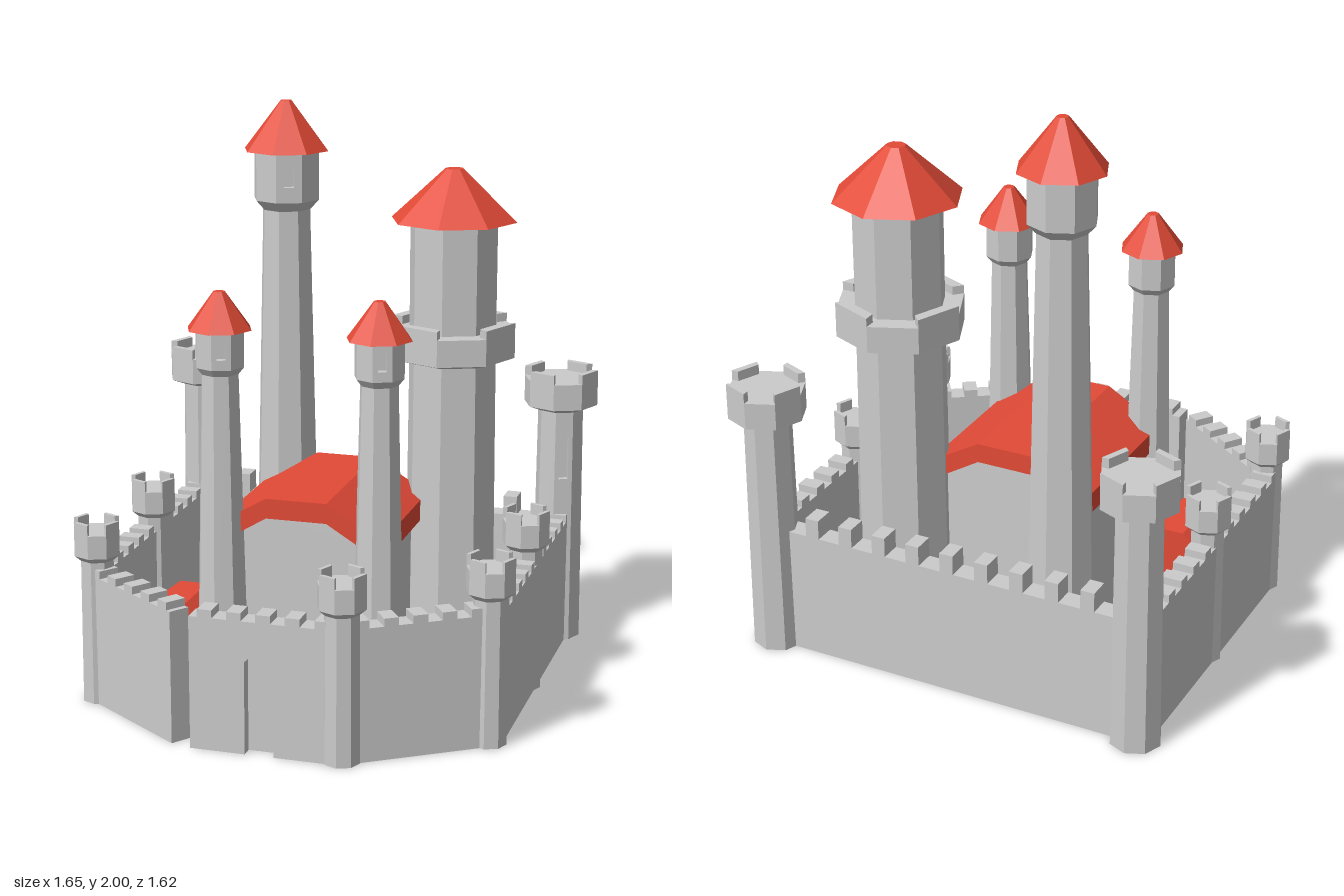
import * as THREE from 'three';

const stone = new THREE.MeshStandardMaterial({ color: 0xcccccc, flatShading: true });
const red = new THREE.MeshStandardMaterial({ color: 0xe24a36, flatShading: true });
const STEP = Math.PI / 4; // every tower is eight-sided
const SIN = Math.sin(STEP / 2), COS = Math.cos(STEP / 2);
const faceAngle = (i) => (i + 0.5) * STEP;

function add(parent, name, geometry, material = stone) {
  const mesh = new THREE.Mesh(geometry, material);
  mesh.name = name;
  parent.add(mesh);
  return mesh;
}

function polygon(points) {
  return new THREE.Shape(points.map(([x, y]) => new THREE.Vector2(x, y)));
}

function extrude(shape, depth) {
  return new THREE.ExtrudeGeometry(shape, { depth, bevelEnabled: false });
}

function group(parent, name, x = 0, z = 0) {
  const g = new THREE.Group();
  g.name = name;
  g.position.set(x, 0, z);
  parent.add(g);
  return g;
}

// Eight-sided section between two heights
function section(parent, name, y0, r0, y1, r1, material = stone) {
  const g = new THREE.CylinderGeometry(r1, r0, y1 - y0, 8);
  add(parent, name, g.translate(0, (y0 + y1) / 2, 0), material);
}

// Section with one recessed window in face i
function windowSection(parent, name, y0, r0, y1, r1, i, win) {
  const h = y1 - y0, angle = faceAngle(i), depth = 0.03;
  const tube = new THREE.CylinderGeometry(r1, r0, h, 7, 1, true, angle + STEP / 2, 7 * STEP);
  add(parent, name, tube.translate(0, (y0 + y1) / 2, 0));
  const lean = Math.atan(((r0 - r1) * COS) / h), len = h / Math.cos(lean);
  const b = r0 * SIN, t = r1 * SIN;
  const shape = polygon([[-b, 0], [b, 0], [t, len], [-t, len]]);
  const w = win.w / 2, lo = win.y0 - y0, hi = win.y1 - y0;
  shape.holes.push(polygon([[-w, lo], [-w, hi], [w, hi], [w, lo]]));
  const place = (g) => g.rotateX(-lean).translate(0, y0, r0 * COS).rotateY(angle);
  add(parent, name + 'WindowFace', place(extrude(shape, depth).translate(0, 0, -depth)));
  const back = new THREE.BoxGeometry(win.w * 1.2, hi - lo + 0.02, 0.01);
  add(parent, name + 'WindowBack', place(back.translate(0, (lo + hi) / 2, -depth)));
  // caps keep the section closed at both ends
  for (const [y, r, turn] of [[y0, r0, Math.PI / 2], [y1, r1, -Math.PI / 2]]) {
    const cap = new THREE.CircleGeometry(r, 8).rotateX(turn).translate(0, y, 0);
    add(parent, name + 'Cap', cap);
  }
}

// Flared platform with raised plates on alternate faces
function battlement(parent, shaftR, r, y0, y1, top) {
  section(parent, 'flare', y0 - 0.02, shaftR, y0, r);
  section(parent, 'platform', y0, r, y1, r);
  const t = r * 0.17, half = r * SIN, inner = half - t * Math.tan(STEP / 2);
  for (const i of [1, 3, 5, 7]) {
    const plate = extrude(polygon([[-half, 0], [half, 0], [inner, t], [-inner, t]]), top - y1);
    plate.rotateX(-Math.PI / 2).translate(0, y1, r * COS).rotateY(faceAngle(i));
    add(parent, 'battlementPlate', plate);
  }
}

// Slim turret with a wider window chamber and pointed roof
function turret(parent, name, x, z, d) {
  const g = group(parent, name, x, z);
  if (d.slit) windowSection(g, 'shaft', 0, d.base, d.neck, d.neckR, 2, d.slit);
  else section(g, 'shaft', 0, d.base, d.neck, d.neckR);
  section(g, 'flare', d.neck, d.neckR, d.head, d.headR);
  windowSection(g, 'chamber', d.head, d.headR, d.eave, d.headR, 0, d.win);
  section(g, 'roof', d.eave, d.roofR, d.top, 0.02, red);
}

// Straight wall from a to b with evenly spaced merlons
function wall(parent, name, a, b, { merlon = 0.05, pitch = 0.1, top = 0.487, body = true } = {}) {
  const dx = b[0] - a[0], dz = b[1] - a[1], len = Math.hypot(dx, dz);
  const g = group(parent, name, (a[0] + b[0]) / 2, (a[1] + b[1]) / 2);
  g.rotation.y = -Math.atan2(dz, dx);
  const H = 0.46, T = 0.075;
  if (body) add(g, 'wallBody', new THREE.BoxGeometry(len, H, T).translate(0, H / 2, 0));
  const n = Math.floor((len - merlon) / pitch) + 1;
  for (let i = 0; i < n; i++) {
    const m = new THREE.BoxGeometry(merlon, top - H, T);
    add(g, 'merlon', m.translate((i - (n - 1) / 2) * pitch, (top + H) / 2, 0));
  }
  return g;
}

// Gabled profile with a flat ridge
function gable(w, eave, ridgeW, ridge, base) {
  return polygon([[-w, base], [w, base], [w, eave], [ridgeW, ridge], [-ridgeW, ridge], [-w, eave]]);
}

export function createModel() {
  const castle = new THREE.Group();
  castle.name = 'castle';

  // Outer walls
  for (const s of [-1, 1]) wall(castle, 'sideWall', [s * 0.7, -0.66], [s * 0.7, 0.43]);
  wall(castle, 'backWall', [-0.69, -0.665], [0.69, -0.665], { pitch: 0.13, top: 0.53 });
  wall(castle, 'frontLeftWall', [0.69, 0.43], [0.27, 0.715]);
  wall(castle, 'frontRightWall', [-0.69, 0.43], [-0.29, 0.71]);

  // Front wall with a recessed pointed gate
  const gateWall = wall(castle, 'gateWall', [-0.24, 0.722], [0.27, 0.722], { body: false });
  const c = -0.015, L = 0.255;
  const face = polygon([[-L, 0], [c - 0.05, 0], [c - 0.05, 0.32], [c, 0.37], [c + 0.05, 0.32],
    [c + 0.05, 0], [L, 0], [L, 0.46], [-L, 0.46]]);
  add(gateWall, 'gateSurround', extrude(face, 0.04).translate(0, 0, -0.0025));
  add(gateWall, 'gateBack', new THREE.BoxGeometry(2 * L, 0.46, 0.035).translate(0, 0.23, -0.02));

  // Tall towers on the back corners
  for (const s of [-1, 1]) {
    const g = group(castle, 'cornerTower', s * 0.69, -0.68);
    windowSection(g, 'shaft', 0, 0.09, 0.87, 0.083, 0, { w: 0.035, y0: 0.62, y1: 0.78 });
    battlement(g, 0.083, 0.135, 0.89, 0.985, 1.02);
  }

  // Low towers along the walls
  for (const [x, z] of [[-0.69, -0.11], [0.69, -0.11], [-0.69, 0.43], [0.69, 0.43], [0.27, 0.722]]) {
    const g = group(castle, 'wallTower', x, z);
    section(g, 'shaft', 0, 0.063, 0.51, 0.06);
    battlement(g, 0.06, 0.083, 0.53, 0.612, 0.65);
  }

  // Keep: broad round tower with a gallery
  const keep = group(castle, 'keep', 0.365, -0.33);
  section(keep, 'lowerShaft', 0, 0.165, 1.11, 0.157);
  battlement(keep, 0.157, 0.225, 1.13, 1.225, 1.255);
  windowSection(keep, 'upperShaft', 1.225, 0.157, 1.62, 0.157, 2, { w: 0.052, y0: 1.32, y1: 1.52 });
  section(keep, 'roof', 1.61, 0.225, 1.79, 0.033, red);

  // Turrets around the hall
  turret(castle, 'tallTurret', -0.257, -0.36, {
    base: 0.125, neck: 1.615, neckR: 0.088, head: 1.65, headR: 0.12, eave: 1.825, roofR: 0.155, top: 2,
    win: { w: 0.036, y0: 1.705, y1: 1.785 }, slit: { w: 0.042, y0: 1.2, y1: 1.36 },
  });
  for (const x of [-0.287, 0.27]) {
    turret(castle, 'frontTurret', x, 0.288, {
      base: 0.095, neck: 1.16, neckR: 0.066, head: 1.185, headR: 0.086, eave: 1.312, roofR: 0.113, top: 1.44,
      win: { w: 0.03, y0: 1.22, y1: 1.283 }, slit: { w: 0.034, y0: 0.85, y1: 1.01 },
    });
  }

  // Great hall and its roof slab
  const hall = group(castle, 'hall', -0.017, 0);
  add(hall, 'hallBody', extrude(gable(0.265, 0.575, 0.107, 0.667, 0), 0.53).translate(0, 0, -0.265));
  const slab = polygon([[-0.304, 0.545], [-0.107, 0.665], [0.107, 0.665], [0.304, 0.545],
    [0.304, 0.62], [0.107, 0.735], [-0.107, 0.735], [-0.304, 0.62]]);
  add(hall, 'hallRoof', extrude(slab, 0.605).translate(0, 0, -0.303), red);

  // Small red outbuilding
  const shed = group(castle, 'outbuilding', -0.465, 0.21);
  add(shed, 'outbuildingBody', extrude(gable(0.12, 0.28, 0.05, 0.335, 0), 0.24).translate(0, 0, -0.12), red);

  return castle;
}
